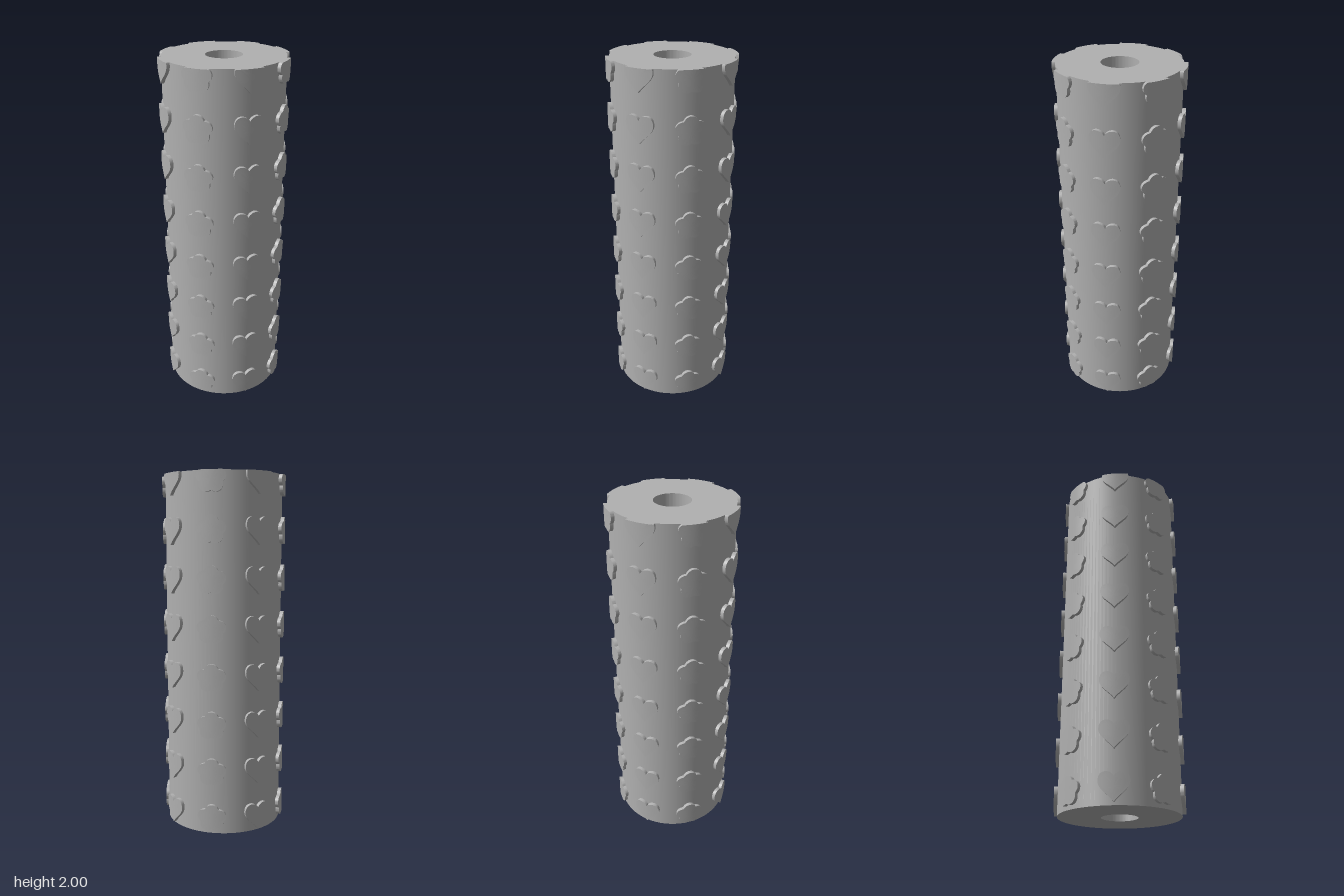
import * as THREE from 'three';
import { toCreasedNormals } from 'three/addons/utils/BufferGeometryUtils.js';

const HEIGHT = 2, BODY_R = 0.332, PLATE_R = 0.352, HOLE_R = 0.1;
const ROWS = 8, ROW_STEP = 0.2664, FIRST_ROW = 0.088;

// Heart outline, counter-clockwise around its middle
function heartOutline() {
  const s = new THREE.Shape();
  s.moveTo(0, 0.05);
  s.bezierCurveTo(0.015, 0.085, 0.082, 0.09, 0.082, 0.03);
  s.bezierCurveTo(0.082, -0.012, 0.03, -0.035, 0, -0.075);
  s.bezierCurveTo(-0.03, -0.035, -0.082, -0.012, -0.082, 0.03);
  s.bezierCurveTo(-0.082, 0.09, -0.015, 0.085, 0, 0.05);
  return s.getPoints(14).slice(0, -1).reverse();
}

// Five-petal flower outline with one petal pointing up
function flowerOutline() {
  const points = [];
  for (let i = 0; i < 70; i++) {
    const t = (i / 70) * Math.PI * 2;
    const r = 0.8 + 0.2 * Math.abs(Math.cos(2.5 * t));
    points.push(new THREE.Vector2(-0.085 * r * Math.sin(t), 0.079 * r * Math.cos(t) + 0.004));
  }
  return points;
}

// Raised plate: outline wrapped round the cylinder, cut flush with its top
function wrappedPlate(outline, angle, y) {
  const rings = [0, 0.35, 0.7, 1];
  const n = outline.length;
  const positions = [], index = [];
  const add = (p, scale, radius) => {
    const a = angle + (p.x * scale) / PLATE_R;
    positions.push(radius * Math.sin(a), Math.min(y + p.y * scale, HEIGHT), radius * Math.cos(a));
  };
  for (const s of rings) for (const p of outline) add(p, s, PLATE_R);
  for (const p of outline) add(p, 1, BODY_R - 0.004);
  for (let r = 0; r < rings.length; r++) {
    for (let i = 0; i < n; i++) {
      const j = (i + 1) % n;
      const a = r * n + i, b = r * n + j, c = a + n, d = b + n;
      if (r > 0) index.push(a, d, b);
      index.push(a, c, d);
    }
  }
  const g = new THREE.BufferGeometry();
  g.setAttribute('position', new THREE.Float32BufferAttribute(positions, 3));
  g.setIndex(index);
  return toCreasedNormals(g, 0.5);
}

export function createModel() {
  const model = new THREE.Group();
  model.name = 'patternRoller';
  const grey = new THREE.MeshStandardMaterial({ color: 0xb0b0b0 });
  grey.name = 'grey';

  // Hollow cylinder with a through hole
  const profile = [
    [HOLE_R, 0], [BODY_R, 0], [BODY_R, HEIGHT], [HOLE_R, HEIGHT], [HOLE_R, 0],
  ].map(([x, y]) => new THREE.Vector2(x, y));
  const body = new THREE.Mesh(toCreasedNormals(new THREE.LatheGeometry(profile, 96), 0.5), grey);
  body.name = 'rollerBody';
  model.add(body);

  // Alternating columns of flowers and hearts
  const motifs = [
    { name: 'flower', outline: flowerOutline(), start: 13 },
    { name: 'heart', outline: heartOutline(), start: 58 },
  ];
  for (const { name, outline, start } of motifs) {
    for (let c = 0; c < 4; c++) {
      const column = new THREE.Group();
      column.name = name + 'Column';
      const angle = THREE.MathUtils.degToRad(start + c * 90);
      for (let row = 0; row < ROWS; row++) {
        const plate = new THREE.Mesh(wrappedPlate(outline, angle, FIRST_ROW + row * ROW_STEP), grey);
        plate.name = name;
        column.add(plate);
      }
      model.add(column);
    }
  }
  return model;
}
